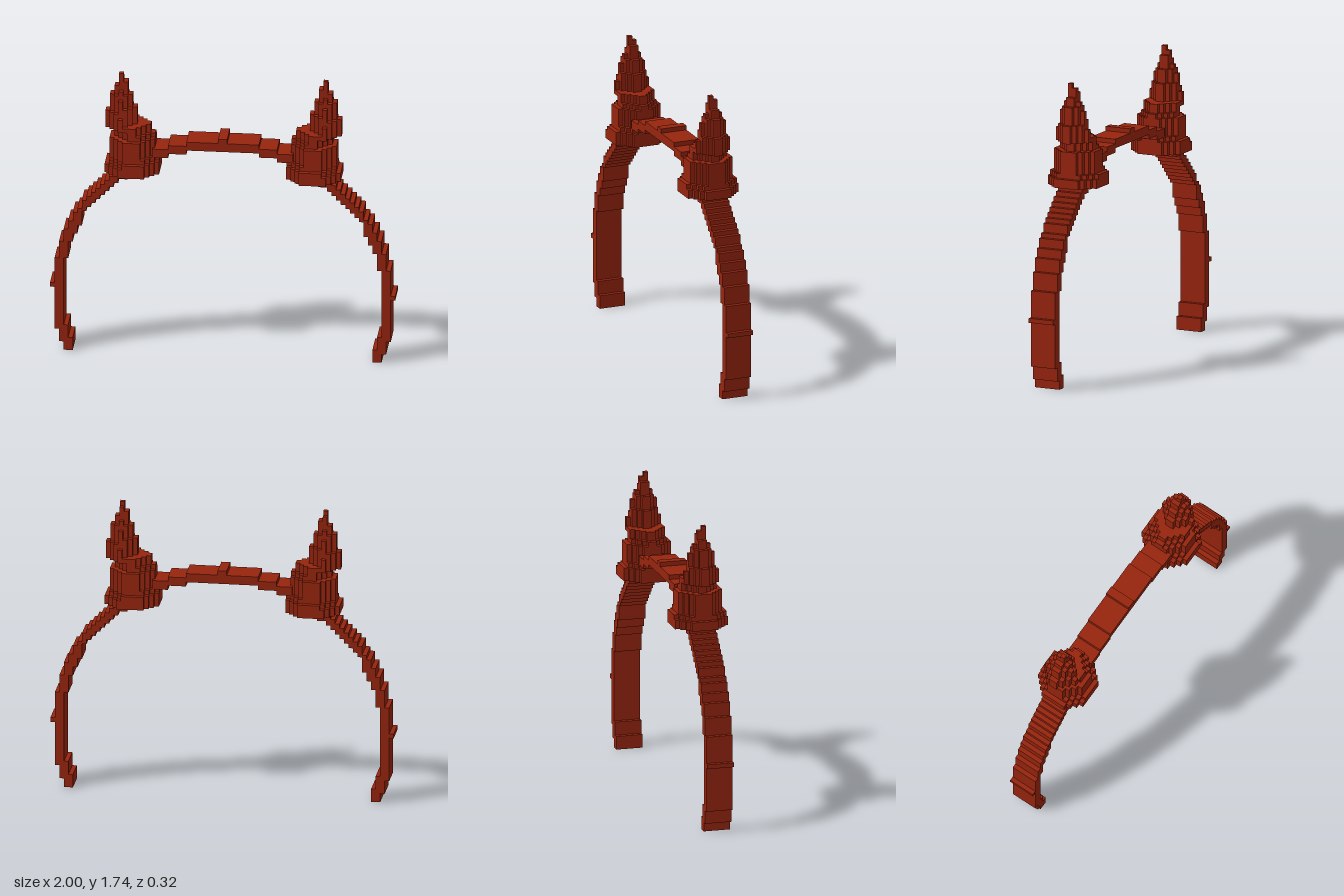
import * as THREE from 'three';

const U = 1 / 38; // one voxel

export function createModel() {
  const red = new THREE.MeshStandardMaterial({ color: 0x96240e });
  red.name = 'dark red';
  const model = new THREE.Group();
  model.name = 'hornedHeadband';

  // Box given by voxel ranges; s mirrors it across x = 0
  function block(parent, name, s, x0, x1, y0, y1, z0 = -3, z1 = 3) {
    const mesh = new THREE.Mesh(
      new THREE.BoxGeometry((x1 - x0) * U, (y1 - y0) * U, (z1 - z0) * U), red);
    mesh.position.set(s * (x0 + x1) / 2 * U, (y0 + y1) / 2 * U, (z0 + z1) / 2 * U);
    mesh.name = name;
    parent.add(mesh);
  }

  // Horizontal slab with a stair-stepped octagonal outline
  function slab(parent, s, y0, y1, x0, x1, zh) {
    const steps = Math.min(3, zh - 1);
    const near = [], far = [];
    for (let k = 0; k <= steps; k++) {
      const z = zh - steps + k;
      if (k > 0) {
        near.push([x0 + k, z - 1]);
        far.push([x1 - k, z - 1]);
      }
      near.push([x0 + k, z]);
      far.push([x1 - k, z]);
    }
    const half = [...near, ...far.reverse()];
    const outline = [...half, ...half.map(([x, z]) => [x, -z]).reverse()];
    const shape = new THREE.Shape(outline.map(([x, z]) => new THREE.Vector2(s * x * U, z * U)));
    const geo = new THREE.ExtrudeGeometry(shape, { depth: (y1 - y0) * U, bevelEnabled: false });
    geo.rotateX(-Math.PI / 2);
    geo.translate(0, y0 * U, 0);
    const mesh = new THREE.Mesh(geo, red);
    mesh.name = 'hornLayer';
    parent.add(mesh);
  }

  // Crown of the band
  const band = new THREE.Group();
  band.name = 'band';
  model.add(band);
  block(band, 'crown', 1, -8, 8, 49, 51);
  block(band, 'crownRidge', 1, -1, 1, 51, 52);

  // Band steps: x0, x1, y0, y1
  const bandSteps = [
    [8, 12, 48, 50], [12, 15.5, 47, 49],
    [33, 35, 0, 3], [34, 36, 2, 6], [35, 37, 5, 22], [37, 38, 15, 16],
    [34, 36, 22, 26], [33, 35, 26, 29], [32, 34, 28, 31], [31, 33, 30, 33],
  ];
  // Stair-stepped shoulder: outer x and top of each column
  const shoulder = [[32, 34], [31, 36]];
  for (let x = 30; x >= 22; x--) shoulder.push([x, Math.min(67 - x, 43)]);

  // Horn layers: y0, y1, inner x, outer x, half depth
  const hornLayers = [
    [43, 45, 14, 26, 6], [45, 46, 14, 25, 6], [46, 47, 14, 25, 5], [47, 51, 15, 25, 5],
    [51, 52, 15, 24, 4], [52, 53, 16, 24, 4], [53, 54, 16, 26, 4], [54, 56, 19, 26, 4],
    [56, 57, 19, 26, 3], [57, 58, 19, 25, 3], [58, 60, 20, 25, 3], [60, 61, 20, 25, 2],
    [61, 62, 21, 24, 2], [62, 63, 21, 24, 1], [63, 64, 21, 23, 1], [64, 65, 22, 23, 1],
  ];

  for (const s of [1, -1]) {
    const side = s > 0 ? 'left' : 'right';
    const arm = new THREE.Group();
    arm.name = side + 'Arm';
    for (const b of bandSteps) block(arm, 'armStep', s, ...b);
    for (const [x, top] of shoulder) block(arm, 'shoulderStep', s, x - 1, x, top - 2.5 + (x < 24 ? 1 : 0), top);
    model.add(arm);

    const horn = new THREE.Group();
    horn.name = side + 'Horn';
    for (const l of hornLayers) slab(horn, s, ...l);
    block(horn, 'hornTip', s, 22, 23, 65, 66, 0, 1);
    model.add(horn);
  }
  return model;
}
